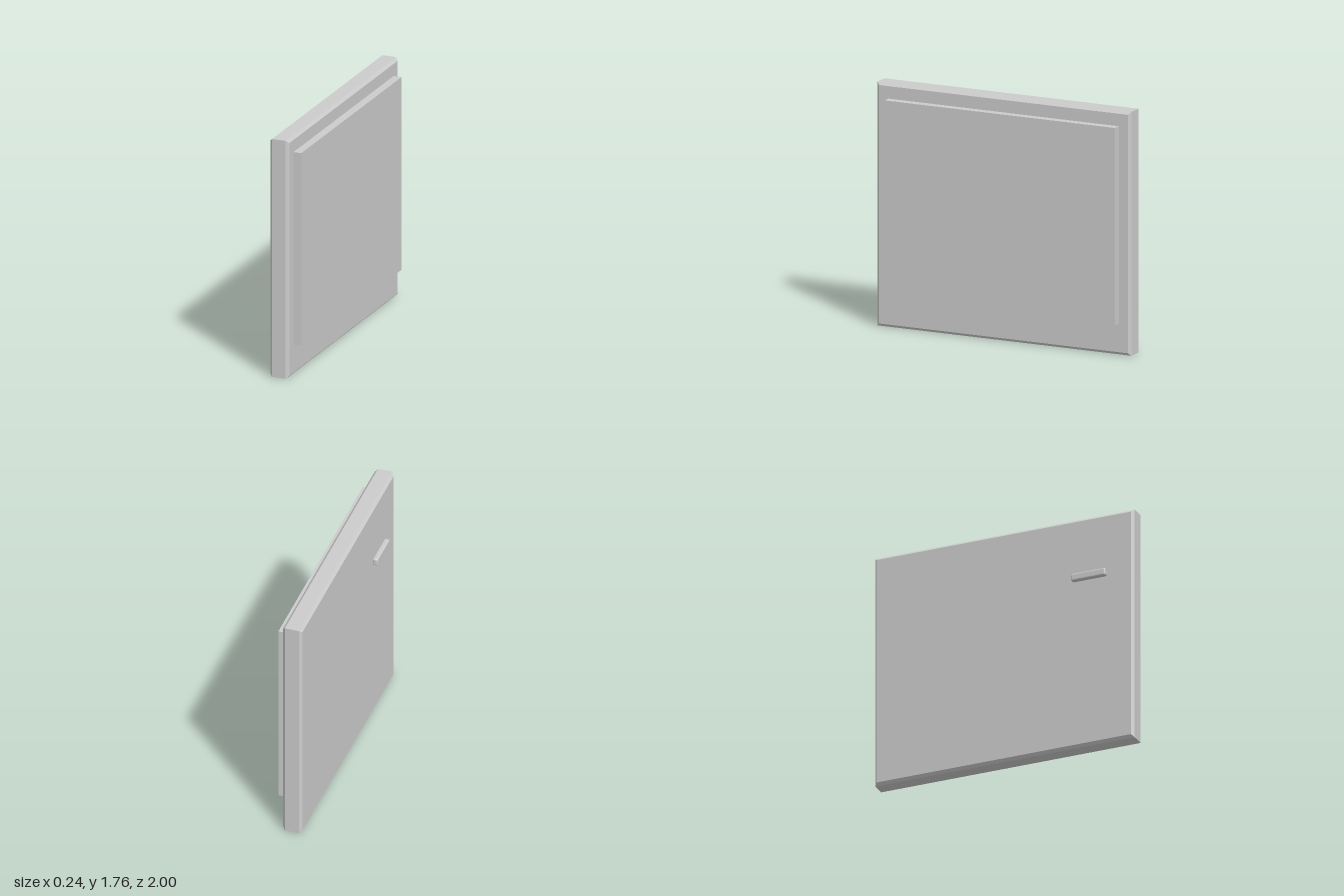
import * as THREE from 'three';
import { RoundedBoxGeometry } from 'three/addons/geometries/RoundedBoxGeometry.js';

// Slab facing +x with chamfered edges around both large faces
function chamferedSlab(thickness, height, length, chamfer) {
  const w = length / 2 - chamfer;
  const h = height / 2 - chamfer;
  const shape = new THREE.Shape([
    new THREE.Vector2(-w, -h), new THREE.Vector2(w, -h),
    new THREE.Vector2(w, h), new THREE.Vector2(-w, h),
  ]);
  const geometry = new THREE.ExtrudeGeometry(shape, {
    depth: thickness - 2 * chamfer,
    bevelEnabled: true, bevelSegments: 1, bevelSize: chamfer, bevelThickness: chamfer,
  });
  geometry.center();
  return geometry.rotateY(Math.PI / 2);
}

export function createModel() {
  const group = new THREE.Group();
  const grey = new THREE.MeshStandardMaterial({ color: 0xcccccc, flatShading: true });

  const add = (name, geometry, x, y, z) => {
    const mesh = new THREE.Mesh(geometry, grey);
    mesh.name = name;
    mesh.position.set(x, y, z);
    group.add(mesh);
  };

  // Main door slab
  add('doorSlab', chamferedSlab(0.144, 1.765, 2, 0.02), -0.012, 0.8825, 0);

  // Raised plate on the inner face
  add('innerPanel', new THREE.BoxGeometry(0.062, 1.43, 1.815), 0.089, 0.94, -0.002);

  // Small rounded pull on the outer face
  add('handle', new RoundedBoxGeometry(0.04, 0.056, 0.264, 2, 0.012), -0.1, 1.306, 0.664);

  return group;
}
